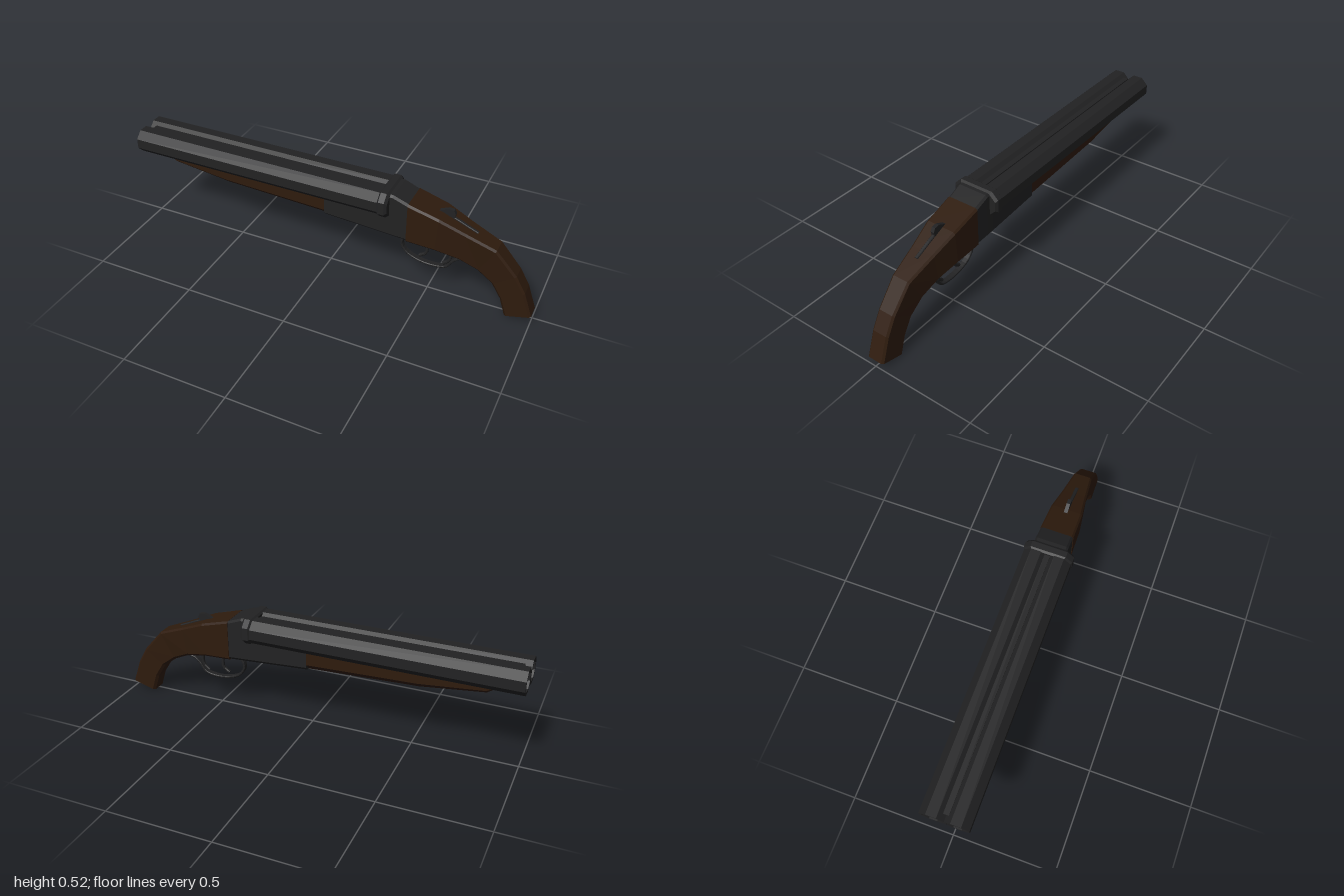
import * as THREE from 'three';
import { mergeVertices } from 'three/addons/utils/BufferGeometryUtils.js';

const metal = new THREE.MeshStandardMaterial({ color: 0x222223, flatShading: true });
const wood = new THREE.MeshStandardMaterial({ color: 0x2e1b0d, flatShading: true });

// Eight-sided cross-section between a top and a bottom point, with chamfered corners
function section([tx, ty], [bx, by], hw, topCut, bottomCut) {
  const h = Math.hypot(tx - bx, ty - by);
  const at = (v, z) => [bx + (tx - bx) * v, by + (ty - by) * v, z];
  const half = [
    [1, hw - topCut], [1 - topCut / h, hw], [bottomCut / h, hw], [0, hw - bottomCut],
  ];
  return [
    ...half.map(([v, z]) => at(v, z)),
    ...half.slice().reverse().map(([v, z]) => at(v, -z)),
  ];
}

// Skin a row of equal-length loops and cap both ends
function loft(name, loops, material) {
  const pos = [];
  const n = loops[0].length;
  const tri = (a, b, c) => pos.push(...a, ...b, ...c);
  for (let s = 0; s < loops.length - 1; s++) {
    const a = loops[s], b = loops[s + 1];
    for (let i = 0; i < n; i++) {
      const j = (i + 1) % n;
      tri(a[i], a[j], b[j]);
      tri(a[i], b[j], b[i]);
    }
  }
  const first = loops[0], last = loops[loops.length - 1];
  for (let i = 1; i < n - 1; i++) {
    tri(first[0], first[i + 1], first[i]);
    tri(last[0], last[i], last[i + 1]);
  }
  let geo = new THREE.BufferGeometry();
  geo.setAttribute('position', new THREE.Float32BufferAttribute(pos, 3));
  geo = mergeVertices(geo);
  geo.computeVertexNormals();
  const mesh = new THREE.Mesh(geo, material);
  mesh.name = name;
  return mesh;
}

// Bent flat bar following a curve in the side plane
function bar(name, points, thickness, hw, steps) {
  const curve = new THREE.CatmullRomCurve3(points.map(([x, y]) => new THREE.Vector3(x, y, 0)));
  const loops = [];
  for (let i = 0; i <= steps; i++) {
    const p = curve.getPoint(i / steps), t = curve.getTangent(i / steps);
    const nx = -t.y * thickness / 2, ny = t.x * thickness / 2;
    const cut = thickness * 0.25;
    loops.push(section([p.x + nx, p.y + ny], [p.x - nx, p.y - ny], hw, cut, cut));
  }
  return loft(name, loops, metal);
}

function box(name, w, h, d, x, y, z) {
  const mesh = new THREE.Mesh(new THREE.BoxGeometry(w, h, d), metal);
  mesh.position.set(x, y, z);
  mesh.name = name;
  return mesh;
}

export function createModel() {
  const gun = new THREE.Group();
  gun.name = 'shotgun';

  // Two hollow octagonal barrels lying along x
  const R = 0.0628, r = 0.049;
  const profile = [[r, -0.65], [R, -0.65], [R, 0.65], [r, 0.65], [r, -0.65]]
    .map(([a, b]) => new THREE.Vector2(a, b));
  for (const side of [1, -1]) {
    const geo = new THREE.LatheGeometry(profile, 8, Math.PI / 8);
    geo.rotateZ(Math.PI / 2);
    const barrel = new THREE.Mesh(geo, metal);
    barrel.position.set(-0.35, 0.462, side * 0.055);
    barrel.name = side > 0 ? 'leftBarrel' : 'rightBarrel';
    gun.add(barrel);
  }

  // Ribs filling the grooves between the barrels
  gun.add(box('topRib', 1.26, 0.03, 0.026, -0.34, 0.492, 0));
  gun.add(box('bottomRib', 1.26, 0.03, 0.026, -0.34, 0.432, 0));

  // Breech collar around the rear ends of the barrels
  const collar = (x, g) =>
    section([x, 0.518 + g], [x, 0.412 - g], 0.11 + g, 0.033, 0.028);
  gun.add(loft('breechCollar',
    [collar(0.27, 0), collar(0.28, 0.008), collar(0.308, 0.008), collar(0.32, 0)], metal));

  // Receiver: low under the barrels, stepping up behind them
  gun.add(loft('receiver', [
    [0, 0.314, 0.415, 0.078], [0.3, 0.297, 0.415, 0.08], [0.3, 0.297, 0.52, 0.08],
    [0.335, 0.295, 0.518, 0.08], [0.408, 0.29, 0.49, 0.078],
  ].map(([x, b, t, hw]) => section([x, t], [x, b], hw, 0.01, 0.016)), metal));

  // Tapering wooden fore-end
  gun.add(loft('foreEnd', [
    [-0.855, 0.378, 0.405, 0.04], [-0.83, 0.363, 0.408, 0.05],
    [-0.53, 0.332, 0.412, 0.068], [0, 0.314, 0.415, 0.078],
  ].map(([x, b, t, hw]) => section([x, t], [x, b], hw, 0.01, (t - b) * 0.3)), wood));

  // Stock sweeping down into a pistol grip: top point, bottom point, half width
  gun.add(loft('stock', [
    [[0.405, 0.492], [0.405, 0.288], 0.081],
    [[0.55, 0.452], [0.54, 0.28], 0.077],
    [[0.67, 0.402], [0.65, 0.255], 0.061],
    [[0.81, 0.347], [0.735, 0.213], 0.046],
    [[0.91, 0.235], [0.805, 0.16], 0.043],
    [[0.957, 0.155], [0.85, 0.088], 0.043],
    [[1.0, 0.037], [0.878, 0.003], 0.043],
  ].map(([t, b, hw]) => section(t, b, hw, 0.009, 0.012)), wood));

  // Trigger guard loop and its rear tang
  gun.add(bar('triggerGuard', [
    [0.42, 0.288], [0.375, 0.265], [0.362, 0.225], [0.39, 0.18], [0.45, 0.154],
    [0.52, 0.147], [0.58, 0.16], [0.61, 0.2], [0.64, 0.226], [0.69, 0.238],
  ], 0.011, 0.014, 26));

  // Two curved triggers
  gun.add(bar('frontTrigger', [[0.465, 0.295], [0.485, 0.24], [0.48, 0.2], [0.45, 0.178]], 0.014, 0.008, 7));
  gun.add(bar('rearTrigger', [[0.575, 0.285], [0.598, 0.235], [0.592, 0.195], [0.565, 0.17]], 0.014, 0.008, 7));

  // Top lever with its thumb piece, and the tang behind it
  const shape = new THREE.Shape([
    [0.49, 0.45], [0.53, 0.458], [0.57, 0.476], [0.595, 0.474], [0.604, 0.455],
    [0.597, 0.425], [0.57, 0.41], [0.5, 0.43],
  ].map(([x, y]) => new THREE.Vector2(x, y)));
  const leverGeo = new THREE.ExtrudeGeometry(shape, { depth: 0.018, bevelEnabled: false });
  leverGeo.translate(0, 0, -0.009);
  const lever = new THREE.Mesh(leverGeo, metal);
  lever.name = 'topLever';
  gun.add(lever);
  gun.add(bar('tang', [[0.56, 0.446], [0.62, 0.424], [0.67, 0.402], [0.71, 0.386]], 0.012, 0.008, 5));

  return gun;
}
